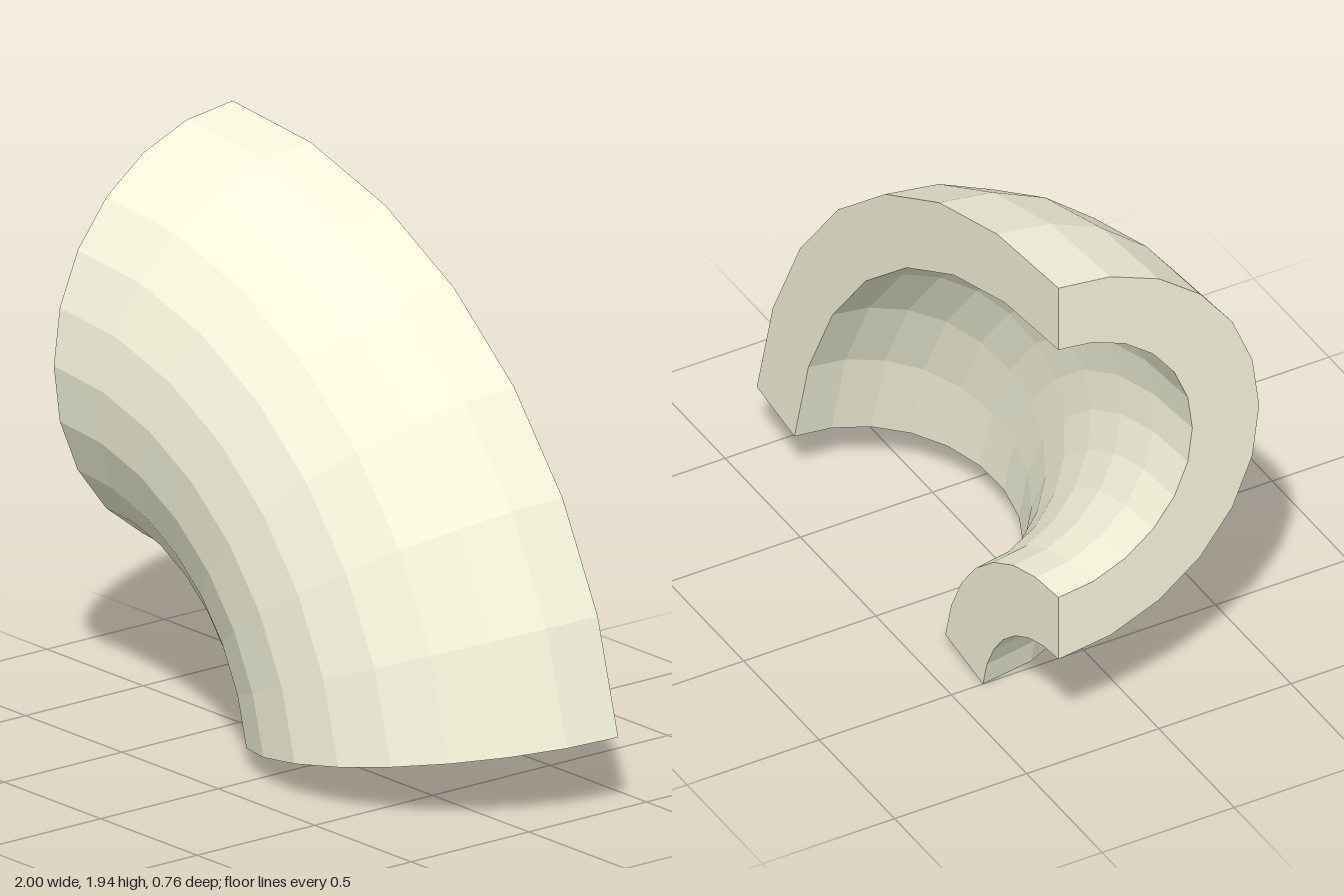
import * as THREE from 'three';

const BEND_RADIUS = 1.267, OUTER = 0.76, INNER = 0.507; // pipe centre line and wall radii
const SWEEP = THREE.MathUtils.degToRad(80.6);
const BEND_STEPS = 7, ARC_STEPS = 12;
const CENTER = new THREE.Vector3(-1, -0.083, -0.38); // centre of the bend

// Half-ring section of the pipe wall: x = distance from bend centre, y = depth
function wallSection() {
  const points = [];
  const addArc = (radius, from, to) => {
    for (let i = 0; i <= ARC_STEPS; i++) {
      const a = from + (to - from) * i / ARC_STEPS;
      points.push(new THREE.Vector2(BEND_RADIUS + radius * Math.cos(a), radius * Math.sin(a)));
    }
  };
  addArc(OUTER, 0, Math.PI);
  addArc(INNER, Math.PI, 0);
  return new THREE.Shape(points);
}

export function createModel() {
  const group = new THREE.Group();
  group.name = 'halfPipeElbow';

  // Extrude the section straight, then bend its length around the centre
  const geometry = new THREE.ExtrudeGeometry(wallSection(), {
    depth: SWEEP, steps: BEND_STEPS, bevelEnabled: false,
  });
  const pos = geometry.attributes.position;
  for (let i = 0; i < pos.count; i++) {
    const r = pos.getX(i), depth = pos.getY(i), angle = pos.getZ(i);
    pos.setXYZ(i, r * Math.sin(angle), r * Math.cos(angle), depth);
  }
  geometry.translate(CENTER.x, CENTER.y, CENTER.z);
  geometry.computeVertexNormals();

  const material = new THREE.MeshStandardMaterial({ color: 0xf5f5dc, flatShading: true });
  const elbow = new THREE.Mesh(geometry, material);
  elbow.name = 'pipeWall';
  group.add(elbow);
  return group;
}
